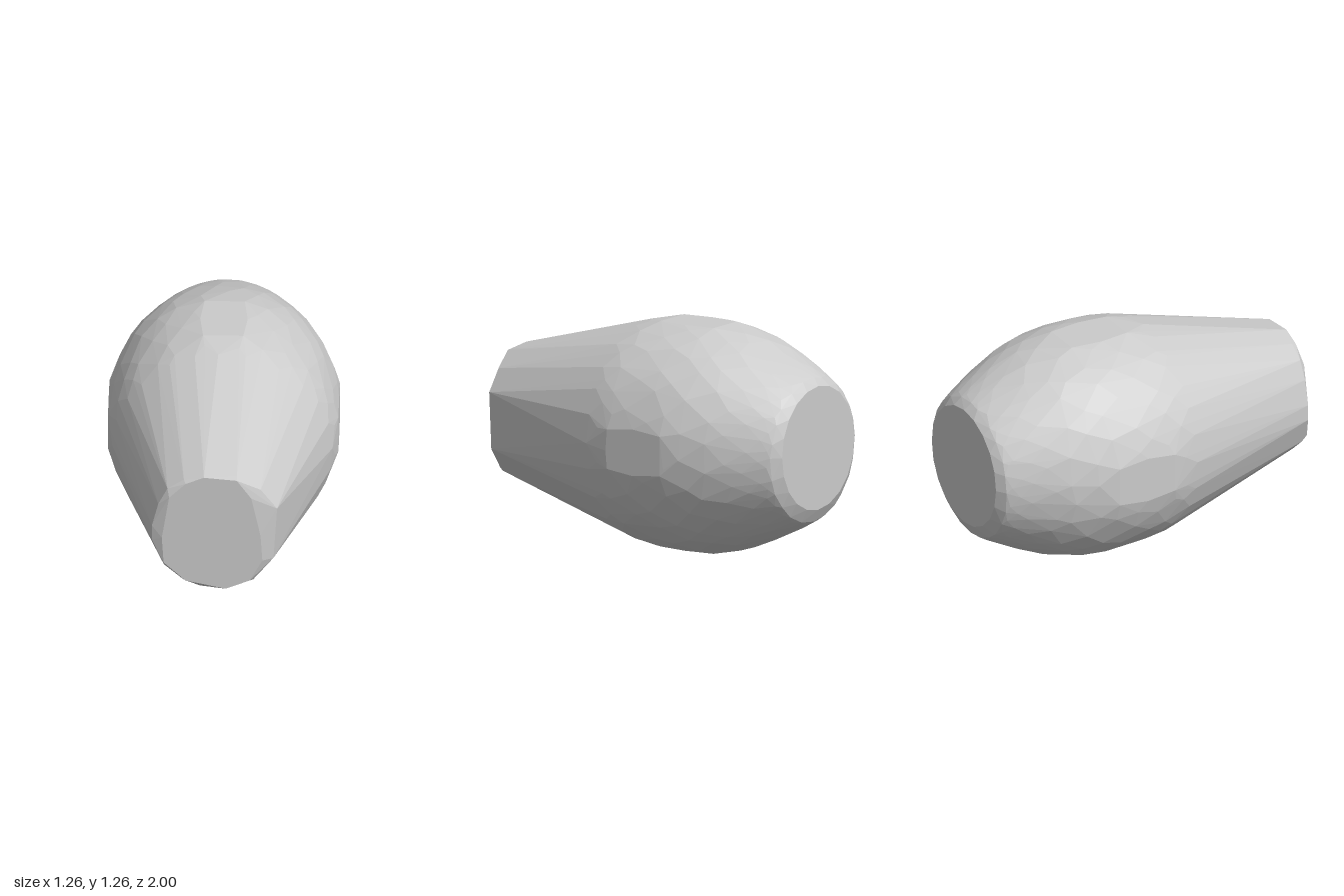
import * as THREE from 'three';
import { ConvexGeometry } from 'three/addons/geometries/ConvexGeometry.js';

const CENTRE_Y = 0.63;

// small seeded generator for the uneven facets
function seeded(seed) {
  return () => {
    seed = (seed * 16807) % 2147483647;
    return seed / 2147483647;
  };
}

export function createModel() {
  const rand = seeded(4711);
  const points = [];
  const clamp = (v) => THREE.MathUtils.clamp(v, -0.63, 0.63);

  // radius along the bulging part, from the start of the cone to the back rim
  const profile = new THREE.CatmullRomCurve3([
    [0.13, 0.602], [0, 0.63], [-0.2, 0.642], [-0.4, 0.632], [-0.6, 0.582],
    [-0.8, 0.492], [-0.92, 0.428], [-0.965, 0.4],
  ].map(([z, r]) => new THREE.Vector3(r, 0, z)));

  // staggered, slightly uneven rings; the clamp leaves a flat on each side
  const rings = 13, sides = 24;
  for (let i = 0; i < rings; i++) {
    for (let j = 0; j < sides; j++) {
      const t = THREE.MathUtils.clamp((i + (rand() - 0.5) * 0.5) / (rings - 1), 0, 1);
      const a = ((j + (i % 2) / 2 + (rand() - 0.5) * 0.4) / sides) * Math.PI * 2;
      const p = profile.getPoint(t);
      points.push(new THREE.Vector3(clamp(p.x * Math.cos(a)), CENTRE_Y + clamp(p.x * Math.sin(a)), p.z));
    }
  }

  // four flats where the body is widest
  for (let k = 0; k < 4; k++) {
    for (const [u, z] of [[0.11, -0.03], [0.11, -0.38], [-0.11, -0.03], [-0.11, -0.38], [0.13, -0.2], [-0.13, -0.2]]) {
      const c = Math.round(Math.cos(k * Math.PI / 2)), s = Math.round(Math.sin(k * Math.PI / 2));
      points.push(new THREE.Vector3(0.63 * c - u * s, CENTRE_Y + 0.63 * s + u * c, z));
    }
  }

  // flat back end
  for (let j = 0; j < 20; j++) {
    const a = (j / 20) * Math.PI * 2;
    points.push(new THREE.Vector3(0.345 * Math.cos(a), 0.645 + 0.345 * Math.sin(a), -1));
  }

  // uneven front rim, then the front face slightly ahead of it
  const rim = [
    [-0.365, 0.66], [-0.365, 0.57], [-0.3, 0.41], [-0.2, 0.32], [-0.1, 0.275], [0.04, 0.27], [0.19, 0.32],
    [0.3, 0.46], [0.32, 0.78], [0.23, 0.9], [0.1, 0.985], [-0.08, 0.995], [-0.19, 0.96], [-0.28, 0.9], [-0.33, 0.8],
  ];
  const face = [
    [-0.31, 0.6], [-0.3, 0.44], [-0.18, 0.325], [0.04, 0.275], [0.17, 0.33], [0.24, 0.46],
    [0.23, 0.62], [0.18, 0.86], [0.1, 0.975], [-0.08, 0.992], [-0.18, 0.95], [-0.27, 0.86],
  ];
  rim.forEach(([x, y]) => points.push(new THREE.Vector3(x, y, 0.97)));
  face.forEach(([x, y]) => points.push(new THREE.Vector3(x, y, 1)));

  const body = new THREE.Mesh(
    new ConvexGeometry(points),
    new THREE.MeshStandardMaterial({ color: 0xcccccc, flatShading: true }),
  );
  body.name = 'facetedBody';

  const group = new THREE.Group();
  group.name = 'taperedBarrel';
  group.add(body);
  return group;
}
